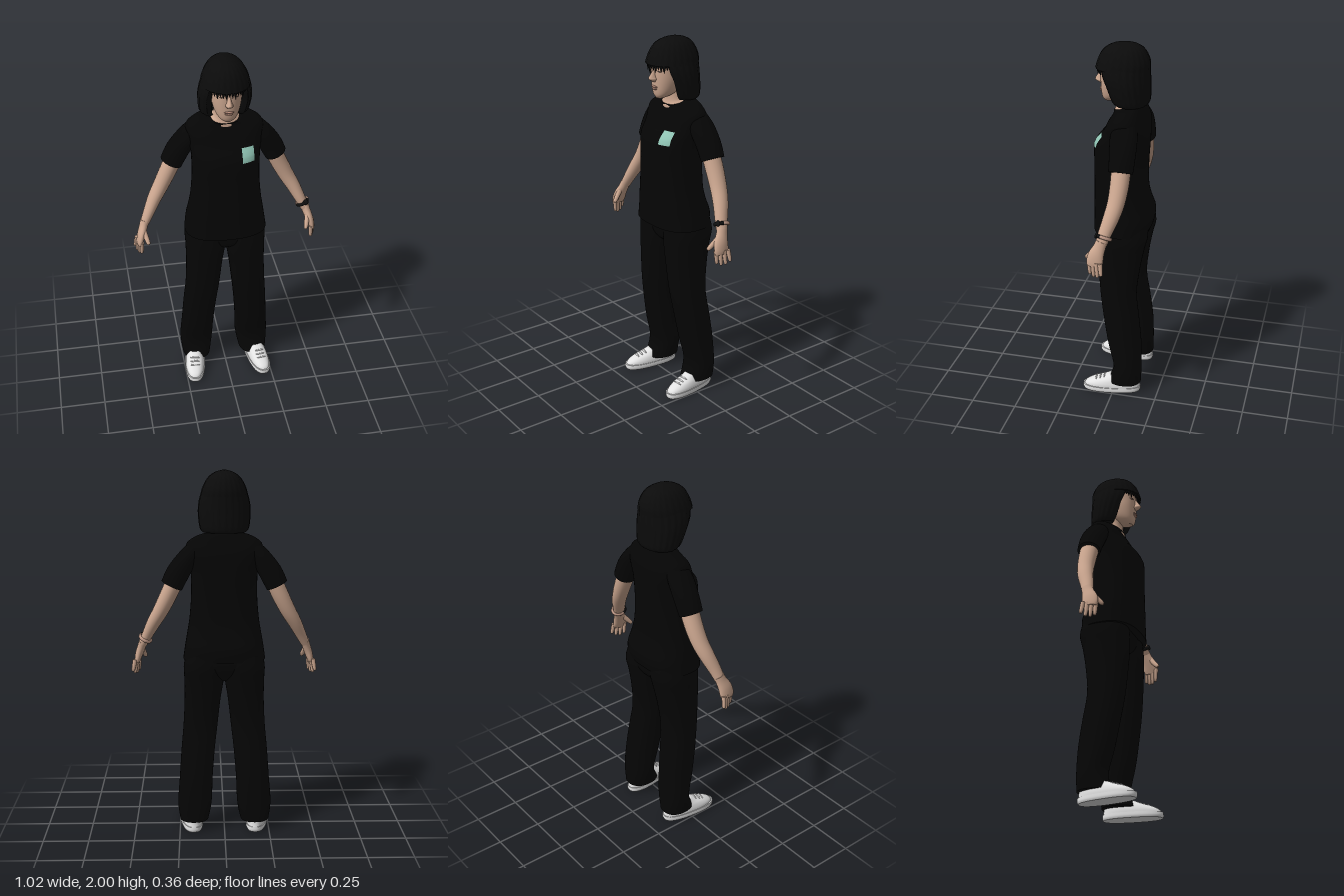
import * as THREE from 'three';

const mat = (name, color) => Object.assign(new THREE.MeshStandardMaterial({ color }), { name });

// Catmull-Rom smoothing of numeric rows
function smooth(rows, k = 4) {
  const out = [];
  for (let i = 0; i < rows.length - 1; i++) {
    const a = rows[Math.max(i - 1, 0)], b = rows[i], c = rows[i + 1], d = rows[Math.min(i + 2, rows.length - 1)];
    for (let s = 0; s < k; s++) {
      const t = s / k;
      out.push(b.map((_, j) => {
        const m1 = c[j] - a[j];
        const m2 = 2 * a[j] - 5 * b[j] + 4 * c[j] - d[j];
        const m3 = 3 * (b[j] - c[j]) + d[j] - a[j];
        return b[j] + 0.5 * t * (m1 + t * (m2 + t * m3));
      }));
    }
  }
  out.push(rows[rows.length - 1]);
  return out;
}

// Skin a list of equal rings (bottom to top) and close both ends
function loft(rings) {
  const n = rings[0].length, pos = [], idx = [];
  const put = (r) => r.forEach((p) => pos.push(p.x, p.y, p.z));
  rings.forEach(put);
  for (let i = 0; i < rings.length - 1; i++) {
    for (let j = 0; j < n; j++) {
      const a = i * n + j, b = i * n + (j + 1) % n;
      idx.push(a, a + n, b, b, a + n, b + n);
    }
  }
  [rings[0], rings[rings.length - 1]].forEach((ring, top) => {
    const o = pos.length / 3;
    put(ring);
    for (let j = 0; j < n / 2 - 1; j++) {
      const q = [o + j, o + j + 1, o + n - 2 - j, o + n - 1 - j];
      if (top) idx.push(q[0], q[2], q[1], q[0], q[3], q[2]);
      else idx.push(q[0], q[1], q[2], q[0], q[2], q[3]);
    }
  });
  const g = new THREE.BufferGeometry();
  g.setAttribute('position', new THREE.Float32BufferAttribute(pos, 3));
  g.setIndex(idx);
  g.computeVertexNormals();
  return g;
}

const sup = (v, p) => Math.sign(v) * Math.pow(Math.abs(v), 2 / p);

// Upright body from rows [y, centreX, centreZ, radiusX, radiusZ, tilt]
function body(rows, { n = 40, p = 2.2, grooves = 0 } = {}) {
  return loft(smooth(rows).map(([y, cx, cz, rx, rz, tilt = 0]) => Array.from({ length: n }, (_, j) => {
    const a = (j / n) * Math.PI * 2, w = grooves ? 1 + 0.012 * Math.cos(grooves * a) : 1;
    const z = rz * w * sup(Math.sin(a), p);
    return new THREE.Vector3(cx + rx * w * sup(Math.cos(a), p), y + tilt * z, cz + z);
  })));
}

// Limb along a path from rows [x, y, z, radiusAcross, radiusDeep], lower end first
function limb(rows, n = 20) {
  const s = smooth(rows), at = (i) => new THREE.Vector3(...s[i].slice(0, 3));
  return loft(s.map((r, i) => {
    const d = at(Math.min(i + 1, s.length - 1)).sub(at(Math.max(i - 1, 0))).normalize();
    const v = new THREE.Vector3(0, 0, 1).addScaledVector(d, -d.z).normalize();
    const u = d.clone().cross(v);
    return Array.from({ length: n }, (_, j) => {
      const a = (j / n) * Math.PI * 2;
      return at(i).addScaledVector(u, r[3] * Math.cos(a)).addScaledVector(v, r[4] * Math.sin(a));
    });
  }));
}

// Finger with a rounded tip
const finger = (tip, base, r) => {
  const row = (t, f) => [...tip.map((c, i) => c + (base[i] - c) * t), r * f, r * f];
  return limb([row(0, 0.35), row(0.08, 0.75), row(0.35, 0.95), row(1, 1.1)], 10);
};

function mirrored(geo) {
  const g = geo.clone().scale(-1, 1, 1), a = g.index.array;
  for (let i = 0; i < a.length; i += 3) [a[i], a[i + 1]] = [a[i + 1], a[i]];
  return g;
}

export function createModel() {
  const root = new THREE.Group();
  root.name = 'standingWoman';
  const skin = mat('skin', 0xcba68f), lip = mat('lips', 0xb98d7c), dark = mat('eyeLine', 0x4a3a34);
  const hairM = mat('hair', 0x0b0b0b), cloth = mat('blackCloth', 0x050505), white = mat('shoeWhite', 0xe2e2e2);
  const mint = mat('mintBadge', 0x90c4b4), strap = mat('watchBlack', 0x101010), band = mat('braceletBeige', 0xc09a88);

  const add = (name, geo, m, parent = root) => {
    const mesh = new THREE.Mesh(geo, m);
    mesh.name = name;
    parent.add(mesh);
  };
  const pair = (name, geo, m) => {
    add(name + 'Left', geo, m);
    add(name + 'Right', mirrored(geo), m);
  };
  const blob = (x, y, z, rx, ry, rz) => new THREE.SphereGeometry(1, 20, 12).scale(rx, ry, rz).translate(x, y, z);

  // T-shirt
  const shirt = [
    [0.98, 0, -0.015, 0.225, 0.155, 0], [1.05, 0, -0.02, 0.215, 0.16, 0], [1.12, 0, -0.008, 0.203, 0.148, 0],
    [1.2, 0, 0, 0.19, 0.14, 0], [1.33, 0, 0, 0.18, 0.14, 0], [1.46, 0, -0.005, 0.182, 0.143, 0],
    [1.53, 0, -0.03, 0.195, 0.12, 0], [1.58, 0, -0.04, 0.205, 0.105, 0], [1.62, 0, -0.04, 0.198, 0.085, -0.1],
    [1.65, 0, -0.035, 0.15, 0.07, -0.3], [1.665, 0, -0.025, 0.088, 0.062, -0.35]];
  add('shirtBody', body(shirt, { p: 2.5, n: 48 }), cloth);
  pair('sleeve', limb([[0.283, 1.39, -0.06, 0.06, 0.064], [0.248, 1.46, -0.06, 0.062, 0.068],
    [0.195, 1.54, -0.055, 0.053, 0.072], [0.14, 1.6, -0.05, 0.045, 0.06]], 28), cloth);

  // Chest badge following the shirt front
  const rows = smooth(shirt);
  const shirtZ = (x, y) => {
    const i = rows.findIndex((r) => r[0] > y), a = rows[i - 1], b = rows[i], t = (y - a[0]) / (b[0] - a[0]);
    const [, , cz, rx, rz] = a.map((v, j) => v + (b[j] - v) * t);
    return cz + rz * Math.pow(1 - Math.pow(Math.abs(x) / rx, 2.5), 0.4);
  };
  const badge = new THREE.PlaneGeometry(0.066, 0.07, 8, 10).translate(0.102, 1.489, 0);
  const bp = badge.attributes.position;
  for (let i = 0; i < bp.count; i++) bp.setZ(i, shirtZ(bp.getX(i), bp.getY(i)) + 0.004);
  badge.computeVertexNormals();
  add('chestBadge', badge, mint);

  // Trousers
  pair('trouserLeg', body([
    [0.06, 0.17, -0.055, 0.08, 0.095], [0.16, 0.166, -0.073, 0.094, 0.077], [0.3, 0.158, -0.055, 0.092, 0.092],
    [0.45, 0.147, -0.033, 0.093, 0.097], [0.6, 0.132, -0.013, 0.095, 0.099], [0.75, 0.12, -0.014, 0.1, 0.113],
    [0.87, 0.111, -0.022, 0.11, 0.127], [0.95, 0.11, -0.032, 0.112, 0.135], [1.03, 0.1, -0.03, 0.1, 0.125]],
  { p: 2.3 }), cloth);
  add('trouserSeat', body([[0.86, 0, -0.02, 0.1, 0.06], [0.9, 0, -0.025, 0.17, 0.105],
    [0.96, 0, -0.032, 0.21, 0.128], [1.03, 0, -0.03, 0.2, 0.13]], { p: 2.6 }), cloth);

  // Shoes, turned out a little
  const place = (g) => g.rotateY(0.13).translate(0.186, 0, 0);
  pair('shoeSole', place(body([[0, 0, 0.015, 0.056, 0.16], [0.012, 0, 0.015, 0.06, 0.165],
    [0.03, 0, 0.015, 0.059, 0.164]], { p: 2.5 })), white);
  pair('shoeUpper', place(body([[0.026, 0, 0.013, 0.056, 0.16], [0.045, 0, 0.009, 0.055, 0.152],
    [0.065, 0, -0.008, 0.05, 0.133], [0.082, 0, -0.032, 0.044, 0.105], [0.1, 0, -0.05, 0.038, 0.08]],
  { p: 2.4 })), white);
  for (let i = 0; i < 3; i++) {
    pair('shoeLace' + i, place(blob(0, 0.086 - i * 0.008, 0.058 + i * 0.023, 0.028, 0.006, 0.005)), white);
  }

  // Arms and hands
  pair('arm', limb([[0.447, 1.055, 0.003, 0.024, 0.031], [0.42, 1.11, -0.012, 0.03, 0.036],
    [0.385, 1.18, -0.035, 0.037, 0.042], [0.345, 1.25, -0.052, 0.042, 0.046],
    [0.3, 1.34, -0.06, 0.046, 0.05], [0.25, 1.45, -0.06, 0.046, 0.052]]), skin);
  pair('palm', limb([[0.482, 0.945, 0.03, 0.014, 0.038], [0.478, 0.965, 0.03, 0.018, 0.044],
    [0.468, 1.0, 0.025, 0.022, 0.042], [0.454, 1.04, 0.01, 0.023, 0.033], [0.445, 1.07, 0, 0.024, 0.031]]), skin);
  [0.892, 0.882, 0.885, 0.9].forEach((tipY, i) => pair('finger' + i,
    finger([0.474 + i * 0.01, tipY, 0.056 - i * 0.022], [0.471 + i * 0.007, 0.965, 0.061 - i * 0.021], 0.0115), skin));
  pair('thumb', finger([0.435, 0.965, 0.088], [0.458, 1.03, 0.03], 0.014), skin);

  // Watch on the left wrist: dark strap in front, beige behind
  const wrist = new THREE.Group();
  wrist.name = 'wristWatch';
  wrist.position.set(0.432, 1.088, -0.006);
  wrist.quaternion.setFromUnitVectors(new THREE.Vector3(0, 1, 0), new THREE.Vector3(-0.46, 0.87, -0.2).normalize());
  root.add(wrist);
  const arc = (start, len) => new THREE.TorusGeometry(0.036, 0.007, 8, 28, len)
    .rotateZ(start).rotateX(Math.PI / 2).scale(0.93, 1.4, 1.08);
  add('strapFront', arc(0.3, 2.6), strap, wrist);
  add('strapBack', arc(2.9, Math.PI * 2 - 2.6), band, wrist);
  add('watchCase', blob(0.015, 0, 0.036, 0.016, 0.016, 0.008), strap, wrist);

  // Neck and head
  add('neck', body([[1.6, 0, -0.025, 0.086, 0.06, -0.3], [1.655, 0, -0.023, 0.083, 0.06, -0.35],
    [1.68, 0, -0.024, 0.06, 0.053, -0.2], [1.76, 0, -0.02, 0.055, 0.052, 0]]), skin);
  add('head', body([[1.683, 0, 0.07, 0.02, 0.022], [1.7, 0, 0.053, 0.045, 0.05], [1.73, 0, 0.03, 0.064, 0.079],
    [1.78, 0, 0.02, 0.077, 0.092], [1.83, 0, 0.015, 0.081, 0.098], [1.9, 0, 0, 0.085, 0.11],
    [1.95, 0, -0.01, 0.06, 0.08]]), skin);
  add('nose', body([[1.774, 0, 0.108, 0.012, 0.01], [1.788, 0, 0.112, 0.02, 0.03], [1.8, 0, 0.112, 0.015, 0.031],
    [1.825, 0, 0.106, 0.009, 0.02], [1.85, 0, 0.1, 0.008, 0.014]], { n: 20, p: 2 }), skin);
  add('upperLip', blob(0, 1.747, 0.108, 0.025, 0.006, 0.011), lip);
  add('lowerLip', blob(0, 1.737, 0.107, 0.021, 0.007, 0.011), lip);
  pair('eyelid', blob(0.035, 1.838, 0.1, 0.018, 0.011, 0.009), skin);
  pair('eyeLine', blob(0.035, 1.833, 0.103, 0.015, 0.003, 0.007), dark);

  // Bob hair: crown, curtain open at the face, and fringe
  add('hairCrown', body([[1.865, 0, -0.005, 0.126, 0.143], [1.9, 0, -0.01, 0.118, 0.138],
    [1.94, 0, -0.012, 0.1, 0.122], [1.97, 0, -0.015, 0.077, 0.098], [1.99, 0, -0.018, 0.045, 0.06],
    [2, 0, -0.02, 0.01, 0.012]], { n: 96, p: 2.1, grooves: 24 }), hairM);
  const curtain = smooth([[1.676, -0.052, 0.115, 0.088, 0.85], [1.7, -0.045, 0.131, 0.105, 0.8],
    [1.78, -0.025, 0.14, 0.125, 0.85], [1.84, -0.012, 0.134, 0.137, 0.82], [1.895, -0.01, 0.118, 0.137, 0.8]]);
  add('hairCurtain', loft(curtain.map(([y, cz, rx, rz, gap]) => {
    const n = 80, at = (j, f) => {
      const a = Math.PI / 2 + gap + (j / (n - 1)) * (Math.PI * 2 - 2 * gap);
      const w = f * (1 + 0.012 * Math.cos(24 * a));
      return new THREE.Vector3(rx * w * Math.cos(a), y, cz + rz * w * Math.sin(a));
    };
    const js = Array.from({ length: n }, (_, j) => j);
    return [...js.map((j) => at(j, 1)), ...js.reverse().map((j) => at(j, 0.74))];
  })), hairM);
  for (let i = -6; i <= 6; i++) {
    const a = i * 0.135, h = 0.032 + 0.008 * ((i + 6) % 3);
    const lock = new THREE.ConeGeometry(0.013, h, 8).rotateX(Math.PI).scale(1, 1, 0.6).rotateY(a);
    add('fringeLock' + (i + 6), lock.translate(0.116 * Math.sin(a), 1.873 - h / 2, -0.005 + 0.132 * Math.cos(a)), hairM);
  }
  return root;
}
